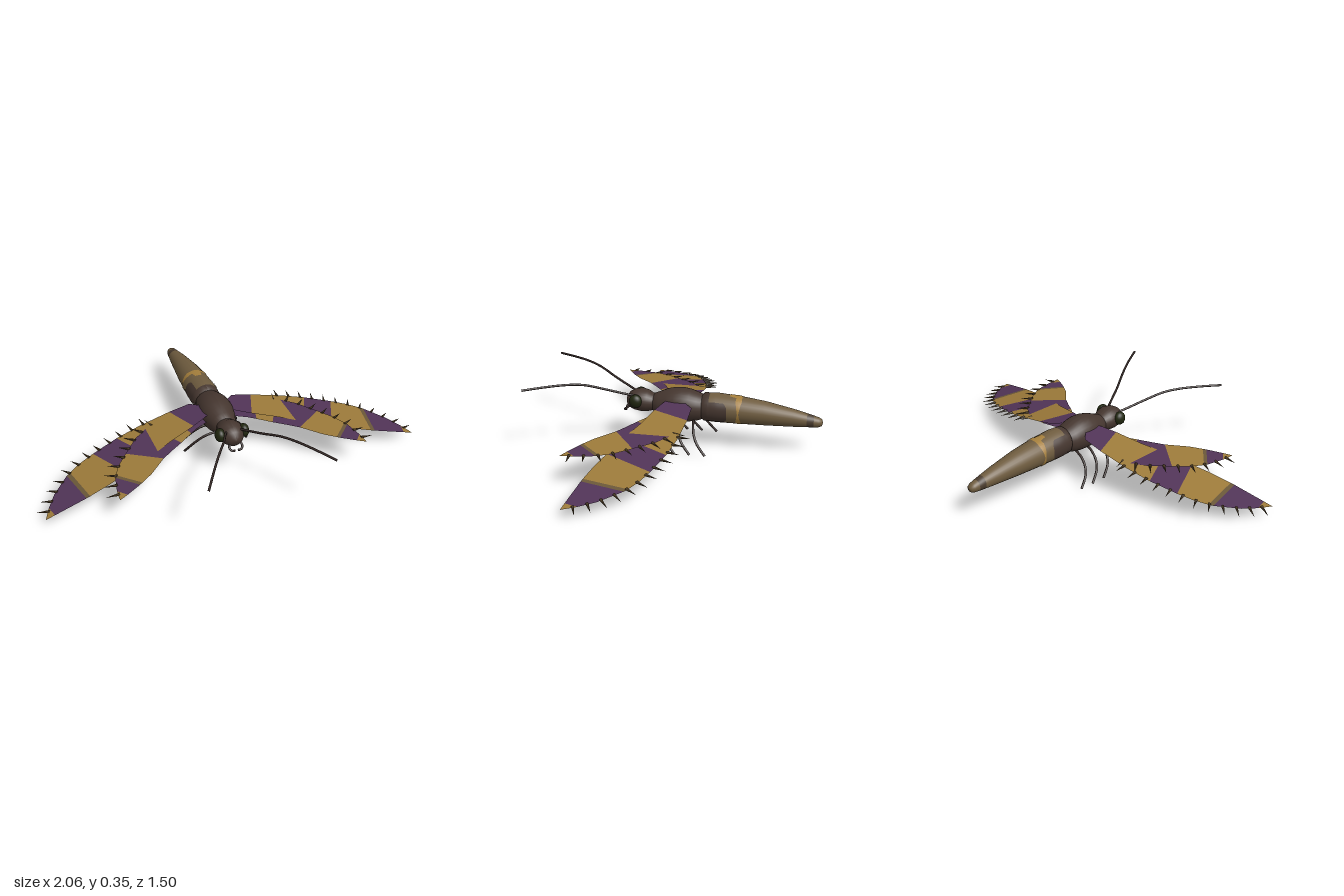
import * as THREE from 'three';

const mat = (name, color, side = THREE.FrontSide) => {
  const m = new THREE.MeshStandardMaterial({ color, side });
  m.name = name;
  return m;
};

// Body stations: [z, centre y, half width, half height], nose to tail
const HEAD = [
  [0.282, 0.222, 0.001, 0.001], [0.277, 0.222, 0.025, 0.022], [0.262, 0.223, 0.045, 0.042],
  [0.235, 0.225, 0.062, 0.055], [0.2, 0.226, 0.069, 0.061], [0.165, 0.222, 0.063, 0.056],
  [0.14, 0.218, 0.051, 0.046], [0.12, 0.216, 0.05, 0.046]];
const THORAX = [
  [0.145, 0.215, 0.03, 0.03], [0.13, 0.215, 0.054, 0.05], [0.1, 0.215, 0.068, 0.062],
  [0.06, 0.214, 0.081, 0.08], [0.02, 0.215, 0.089, 0.088], [-0.02, 0.215, 0.09, 0.09],
  [-0.06, 0.213, 0.087, 0.086], [-0.1, 0.21, 0.079, 0.075], [-0.125, 0.21, 0.07, 0.066], [-0.15, 0.21, 0.05, 0.05]];
const ABDOMEN = [
  [-0.115, 0.21, 0.055, 0.055], [-0.135, 0.212, 0.073, 0.074], [-0.2, 0.212, 0.077, 0.077],
  [-0.32, 0.207, 0.074, 0.072], [-0.45, 0.199, 0.063, 0.063], [-0.6, 0.185, 0.045, 0.046],
  [-0.7, 0.174, 0.031, 0.031], [-0.73, 0.171, 0.026, 0.025], [-0.745, 0.17, 0.018, 0.017], [-0.75, 0.17, 0.001, 0.001]];

// Station at any z along a body part
function stationAt(st, z) {
  let i = 0;
  while (i < st.length - 2 && z < st[i + 1][0]) i++;
  const t = (z - st[i][0]) / (st[i + 1][0] - st[i][0]);
  return st[i].map((v, k) => v + (st[i + 1][k] - v) * t);
}

// Surface grid; point(u, v) with u around the body and v towards the tail
function grid(nu, nv, point) {
  const pos = [], idx = [];
  for (let j = 0; j <= nv; j++) for (let i = 0; i <= nu; i++) pos.push(...point(i / nu, j / nv));
  for (let j = 0; j < nv; j++) for (let i = 0; i < nu; i++) {
    const a = j * (nu + 1) + i, b = a + nu + 1;
    idx.push(a, a + 1, b, a + 1, b + 1, b);
  }
  const g = new THREE.BufferGeometry();
  g.setAttribute('position', new THREE.Float32BufferAttribute(pos, 3));
  g.setIndex(idx);
  g.computeVertexNormals();
  return g;
}

const onBody = (st, z, a, lift = 0) => {
  const [, y, rx, ry] = stationAt(st, z);
  return [(rx + lift) * Math.sin(a), y + (ry + lift) * Math.cos(a), z];
};

// Full ring section of a body part from z0 back to z1
function section(st, z0 = st[0][0], z1 = st[st.length - 1][0]) {
  const zs = [z0, ...st.map(s => s[0]).filter(z => z < z0 - 1e-4 && z > z1 + 1e-4), z1];
  const n = zs.length - 1;
  return grid(28, n, (u, v) => onBody(st, zs[Math.round(v * n)], u * Math.PI * 2));
}

// Painted patch: angles a0..a1, front and back limits given by zRange(u)
const patch = (a0, a1, zRange) => grid(12, 5, (u, v) => {
  const [f, b] = zRange(u);
  return onBody(ABDOMEN, f + (b - f) * v, a0 + (a1 - a0) * u, 0.002);
});

// Wing stations: [rear x, rear z, front x, front z, colour up to the next station]
const FOREWING = [
  [0.06, -0.03, 0.06, 0.05, 'p'], [0.12, -0.09, 0.09, 0.067, 'p'], [0.23, -0.09, 0.16, 0.095, 'o'],
  [0.40, -0.075, 0.30, 0.14, 'o'], [0.53, -0.05, 0.42, 0.19, 'p'], [0.67, -0.005, 0.56, 0.235, 'o'],
  [0.75, 0.028, 0.66, 0.268, 'o'], [0.81, 0.065, 0.765, 0.293, 's'], [0.83, 0.08, 0.785, 0.297, 'p'],
  [0.92, 0.18, 0.88, 0.312, 'p'], [0.965, 0.257, 0.95, 0.323, 'o'], [0.997, 0.33, 0.997, 0.33, 'o']];
const HINDWING = [
  [0.06, -0.03, 0.06, 0.055, 'p'], [0.14, -0.06, 0.14, 0.09, 'p'], [0.23, -0.065, 0.18, 0.115, 'o'],
  [0.36, -0.045, 0.25, 0.163, 'p'], [0.45, 0.02, 0.31, 0.20, 'p'], [0.53, 0.115, 0.37, 0.24, 'o'],
  [0.59, 0.19, 0.46, 0.325, 'o'], [0.622, 0.253, 0.52, 0.366, 's'], [0.63, 0.27, 0.535, 0.376, 'p'],
  [0.65, 0.37, 0.61, 0.418, 'o'], [0.655, 0.44, 0.655, 0.44, 'o']];

export function createModel() {
  const model = new THREE.Group();
  model.name = 'wingedInsect';
  const dark = mat('dark brown', 0x45362f);
  const brown = mat('abdomen brown', 0x6f5c3f);
  const ring = mat('ring brown', 0x4a3c2e);
  const gold = mat('gold marking', 0xa57f3c);
  const limb = mat('limb brown', 0x362a27);
  const eyeMat = mat('eye green', 0x20260f);
  const spineMat = mat('spine brown', 0x4a3a24);
  const wingMats = {
    o: mat('wing ochre', 0x9c7a3a, THREE.DoubleSide),
    p: mat('wing purple', 0x513457, THREE.DoubleSide),
    s: mat('wing olive', 0x6a5738, THREE.DoubleSide)
  };
  const add = (name, geo, m, parent = model) => {
    const mesh = new THREE.Mesh(geo, m);
    mesh.name = name;
    parent.add(mesh);
    return mesh;
  };
  const tube = (name, pts, r) => add(name, new THREE.TubeGeometry(
    new THREE.CatmullRomCurve3(pts.map(p => new THREE.Vector3(...p))), 20, r, 7), limb);

  // Body
  add('head', section(HEAD), dark);
  add('thorax', section(THORAX), dark);
  add('abdomenCollar', section(ABDOMEN, -0.115, -0.165), dark);
  add('abdomen', section(ABDOMEN, -0.165, -0.67), brown);
  add('tailRing', section(ABDOMEN, -0.67, -0.705), ring);
  add('tailTip', section(ABDOMEN, -0.705, -0.75), brown);
  add('backSpot', patch(-0.65, 0.65, u => {
    const k = Math.abs(u * 2 - 1);
    return [-0.335, k < 0.35 ? -0.27 : -0.305].sort((a, b) => b - a);
  }), gold);

  for (const s of [1, -1]) {
    const side = s > 0 ? 'left' : 'right';

    // Side saddles and hourglass markings on the abdomen
    const mid = s * Math.PI / 2;
    add(side + 'Saddle', patch(mid - 0.65, mid + 0.85, u =>
      [-0.16, -0.262 + 0.02 * Math.pow(Math.abs(u * 2 - 1), 4)]), dark);
    add(side + 'Hourglass', patch(mid - 1.0, mid + 1.0, u => {
      const w = 0.003 + 0.014 * Math.abs(u * 2 - 1);
      return [-0.32 + w, -0.32 - w];
    }), gold);

    // Eyes, jaws, antennae
    const eye = add(side + 'Eye', new THREE.SphereGeometry(1, 20, 14), eyeMat);
    eye.scale.set(0.027, 0.036, 0.034);
    eye.position.set(s * 0.064, 0.235, 0.22);
    tube(side + 'Jaw', [[s * 0.03, 0.2, 0.255], [s * 0.034, 0.183, 0.278], [s * 0.022, 0.172, 0.288], [s * 0.008, 0.168, 0.284]], 0.006);
    tube(side + 'Antenna', [[s * 0.035, 0.255, 0.23], [s * 0.06, 0.272, 0.28], [s * 0.1, 0.302, 0.365],
      [s * 0.155, 0.338, 0.465], [s * 0.2, 0.349, 0.54], [s * 0.26, 0.35, 0.64], [s * 0.322, 0.345, 0.745]], 0.006);

    // Three swept legs
    [-0.01, -0.09, -0.17].forEach((z, i) => tube(side + 'Leg' + (i + 1), [
      [s * 0.04, 0.15, z + 0.085], [s * 0.09, 0.134, z + 0.078], [s * 0.135, 0.1, z + 0.065],
      [s * 0.16, 0.063, z + 0.045], [s * 0.176, 0.006, z]], 0.0065));

    // Banded wings with spined rear edges
    for (const [name, st, y0, slope, count] of [
      ['LongWing', FOREWING, 0.25, 0.217, 12], ['ShortWing', HINDWING, 0.215, 0.1, 9]]) {
      const wing = new THREE.Group();
      wing.name = side + name;
      model.add(wing);
      const at = (x, z) => [s * x, y0 - slope * (x - 0.08), z];
      for (const key of Object.keys(wingMats)) {
        const pos = [];
        for (let i = 0; i < st.length - 1; i++) {
          if (st[i][4] !== key) continue;
          const [a, b] = [st[i], st[i + 1]];
          const q = [at(a[0], a[1]), at(a[2], a[3]), at(b[2], b[3]), at(b[0], b[1])];
          if (s < 0) q.reverse();
          pos.push(...q[0], ...q[1], ...q[2], ...q[0], ...q[2], ...q[3]);
        }
        const g = new THREE.BufferGeometry();
        g.setAttribute('position', new THREE.Float32BufferAttribute(pos, 3));
        g.computeVertexNormals();
        add('wingBand', g, wingMats[key], wing);
      }
      const rear = new THREE.CatmullRomCurve3(st.slice(2).map(p => new THREE.Vector3(...at(p[0], p[1]))));
      for (let i = 0; i < count; i++) {
        const t = 0.16 + 0.78 * i / (count - 1);
        const d = rear.getTangentAt(t);
        const out = new THREE.Vector3(s * d.z, -slope * d.z, -Math.abs(d.x)).normalize();
        const spine = add('spine', new THREE.ConeGeometry(0.008, 0.07, 5), spineMat, wing);
        spine.position.copy(rear.getPointAt(t)).addScaledVector(out, 0.026);
        spine.quaternion.setFromUnitVectors(new THREE.Vector3(0, 1, 0), out);
      }
    }
  }
  return model;
}
